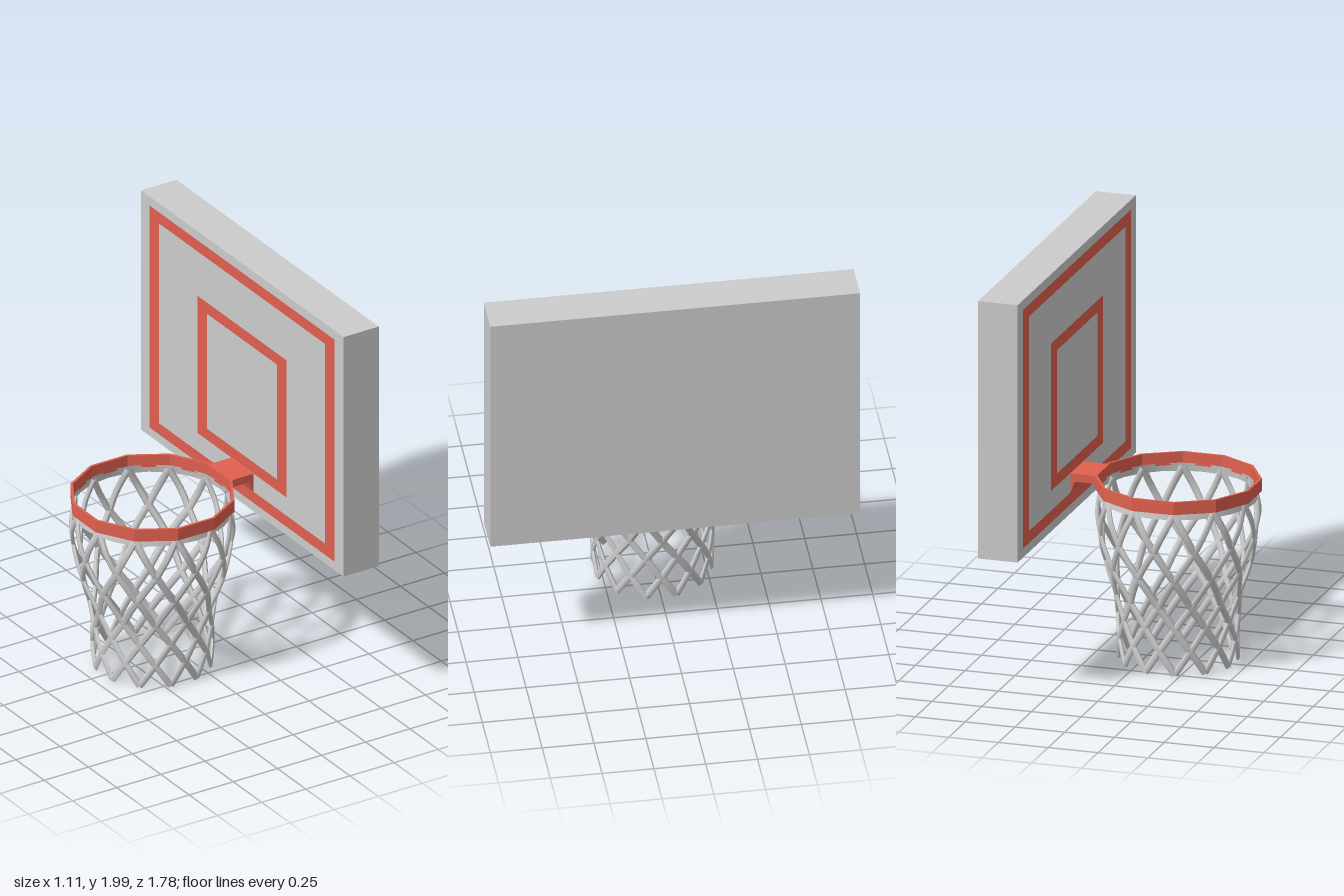
import * as THREE from 'three';

const grey = new THREE.MeshStandardMaterial({ color: 0xcccccc });
const netGrey = new THREE.MeshStandardMaterial({ color: 0xcccccc, side: THREE.DoubleSide });
const red = new THREE.MeshStandardMaterial({ color: 0xe0604f });

const HOOP_X = -0.155;
const BOARD_X = 0.355; // playing face of the board

function add(parent, name, geometry, material, x = 0, y = 0, z = 0) {
  const mesh = new THREE.Mesh(geometry, material);
  mesh.name = name;
  mesh.position.set(x, y, z);
  parent.add(mesh);
  return mesh;
}

// Net crossings, top to bottom: height and radius
const LEVELS = [[0.85, 0.374], [0.65, 0.378], [0.5, 0.348], [0.35, 0.303], [0.24, 0.289], [0.13, 0.287], [0.017, 0.284]];
const profile = new THREE.CatmullRomCurve3([
  new THREE.Vector3(0.374, 0.85, 0), new THREE.Vector3(0.388, 0.75, 0),
  ...LEVELS.slice(1).map(([y, r]) => new THREE.Vector3(r, y, 0)),
]).getPoints(80);

function netRadius(y) {
  for (let i = 1; i < profile.length; i++) {
    const a = profile[i - 1], b = profile[i];
    if (y >= b.y) return THREE.MathUtils.lerp(b.x, a.x, Math.min(1, (y - b.y) / (a.y - b.y)));
  }
  return profile[profile.length - 1].x;
}

// One cord winding down the net, flattened against the net surface
function cordGeometry(start, direction) {
  const points = [];
  const sub = 4;
  for (let i = 0; i <= (LEVELS.length - 1) * sub; i++) {
    const k = Math.min(Math.floor(i / sub), LEVELS.length - 2);
    const y = THREE.MathUtils.lerp(LEVELS[k][0], LEVELS[k + 1][0], i / sub - k);
    const angle = start + direction * (i / sub) * Math.PI / 12;
    const r = netRadius(y);
    points.push(new THREE.Vector3(r * Math.sin(angle), y, r * Math.cos(angle)));
  }
  const geometry = new THREE.TubeGeometry(new THREE.CatmullRomCurve3(points), 36, 0.018, 6);
  const p = geometry.attributes.position;
  for (let i = 0; i < p.count; i++) {
    const r = Math.hypot(p.getX(i), p.getZ(i));
    const mid = netRadius(p.getY(i));
    const s = (mid + (r - mid) * 0.55) / r;
    p.setX(i, p.getX(i) * s);
    p.setZ(i, p.getZ(i) * s);
  }
  geometry.computeVertexNormals();
  return geometry;
}

// Painted rectangular outline on the board, as a flat shape
function outlineGeometry(halfWidth, bottom, top, barZ, barY) {
  const rect = (path, w, b, t) => path.moveTo(-w, b).lineTo(w, b).lineTo(w, t).lineTo(-w, t).closePath();
  const shape = new THREE.Shape();
  rect(shape, halfWidth, bottom, top);
  const hole = new THREE.Path();
  rect(hole, halfWidth - barZ, bottom + barY, top - barY);
  shape.holes.push(hole);
  return new THREE.ShapeGeometry(shape).rotateY(-Math.PI / 2);
}

// Twelve-sided outline with flats on the axes
function polygon(path, radius) {
  const points = [];
  for (let i = 0; i < 12; i++) {
    const a = (i + 0.5) * Math.PI / 6;
    points.push(new THREE.Vector2(radius * Math.cos(a), radius * Math.sin(a)));
  }
  return path.setFromPoints(points);
}

export function createModel() {
  const model = new THREE.Group();
  model.name = 'basketballHoop';

  // Backboard and its painted outlines
  add(model, 'backboard', new THREE.BoxGeometry(0.2, 1.29, 1.784), grey, BOARD_X + 0.1, 1.355, 0);
  add(model, 'outerOutline', outlineGeometry(0.815, 0.757, 1.953, 0.085, 0.06), red, BOARD_X - 0.002);
  add(model, 'targetOutline', outlineGeometry(0.392, 0.915, 1.654, 0.085, 0.06), red, BOARD_X - 0.002);

  // Rim
  const rimShape = polygon(new THREE.Shape(), 0.4);
  rimShape.holes.push(polygon(new THREE.Path(), 0.387));
  const rim = new THREE.ExtrudeGeometry(rimShape, { depth: 0.063, bevelEnabled: false });
  add(model, 'rim', rim.rotateX(-Math.PI / 2), red, HOOP_X, 0.854, 0);

  // Bracket: a plate with a flared foot against the board
  const bracketShape = new THREE.Shape([
    [0.225, 0.872], [0.333, 0.872], [BOARD_X, 0.81], [BOARD_X, 0.912], [0.225, 0.912],
  ].map(([x, y]) => new THREE.Vector2(x, y)));
  const bracket = new THREE.ExtrudeGeometry(bracketShape, { depth: 0.196, bevelEnabled: false });
  add(model, 'bracket', bracket, red, 0, 0, -0.098);

  // Net: a top band and crossing cords in both directions
  const net = new THREE.Group();
  net.name = 'net';
  net.position.x = HOOP_X;
  model.add(net);
  add(net, 'netBand', new THREE.CylinderGeometry(0.378, 0.384, 0.042, 24, 1, true), netGrey, 0, 0.844, 0);
  for (let i = 0; i < 12; i++) {
    for (const direction of [-1, 1]) {
      add(net, 'netCord', cordGeometry((i + 0.5) * Math.PI / 6, direction), netGrey);
    }
  }
  return model;
}
